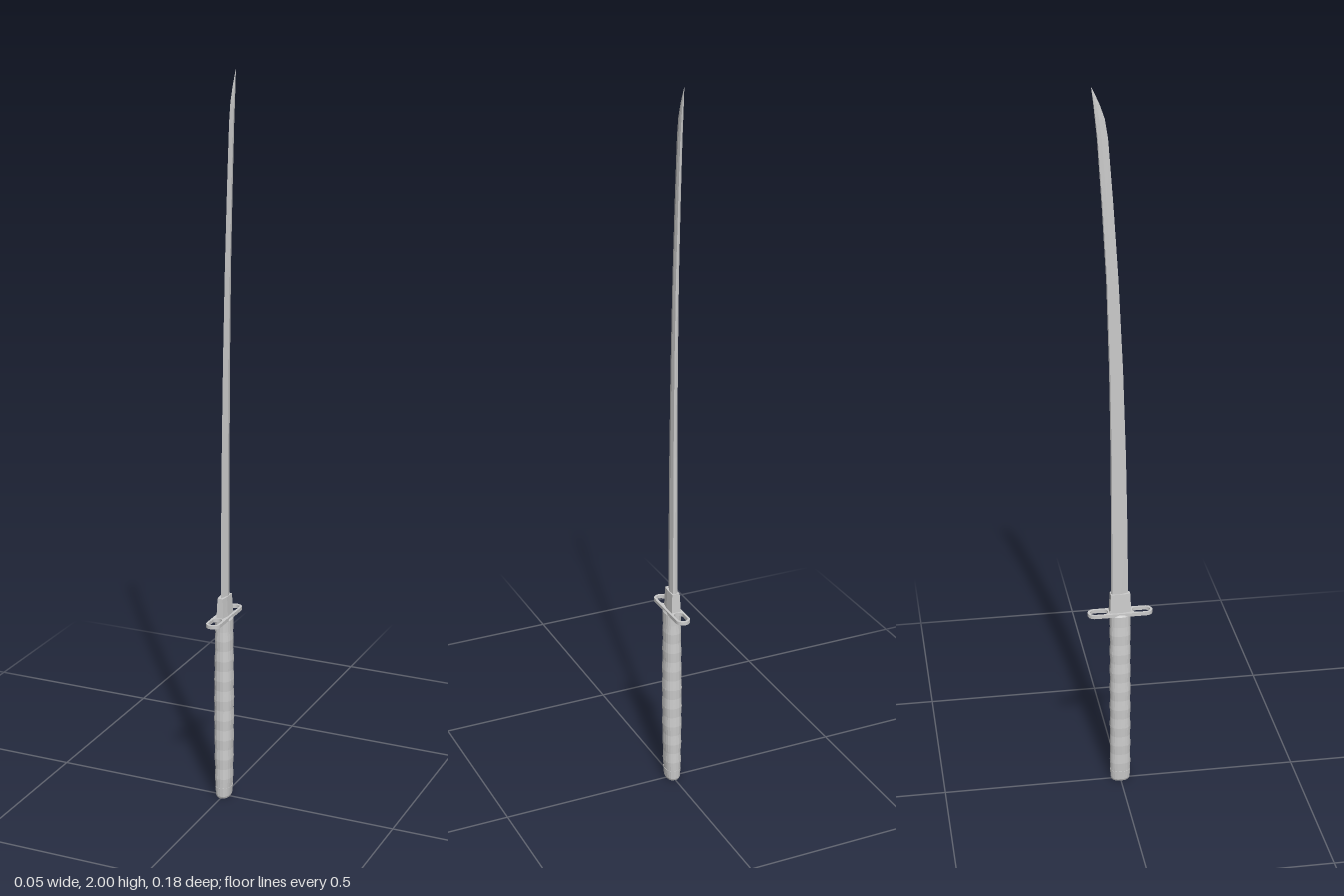
import * as THREE from 'three';

const material = new THREE.MeshStandardMaterial({ color: 0xcccccc, flatShading: true });

// Skins a stack of equal-length rings (ordered from +x towards +z) and caps both ends
function loft(name, rings, mat = material) {
  const n = rings[0].length;
  const positions = rings.flat(2);
  const index = [];
  for (let i = 0; i < rings.length - 1; i++) {
    for (let j = 0; j < n; j++) {
      const a = i * n + j, b = i * n + (j + 1) % n;
      index.push(a, a + n, b, b, a + n, b + n);
    }
  }
  [rings[0], rings[rings.length - 1]].forEach((ring, end) => {
    const centre = positions.length / 3;
    for (let k = 0; k < 3; k++) positions.push(ring.reduce((s, p) => s + p[k], 0) / n);
    const base = end ? (rings.length - 1) * n : 0;
    for (let j = 0; j < n; j++) {
      const a = base + j, b = base + (j + 1) % n;
      if (end) index.push(centre, b, a);
      else index.push(centre, a, b);
    }
  });
  const geometry = new THREE.BufferGeometry();
  geometry.setAttribute('position', new THREE.Float32BufferAttribute(positions, 3));
  geometry.setIndex(index);
  geometry.computeVertexNormals();
  const mesh = new THREE.Mesh(geometry, mat);
  mesh.name = name;
  return mesh;
}

// Rounded oval ring for the grip
function oval(y, rx, rz, sides = 20) {
  return Array.from({ length: sides }, (_, j) => {
    const a = (j / sides) * Math.PI * 2, c = Math.cos(a), s = Math.sin(a);
    return [Math.sign(c) * Math.abs(c) ** 0.85 * rx, y, Math.sign(s) * Math.abs(s) ** 0.85 * rz];
  });
}

// Stadium outline, long in y
function stadium(target, halfWidth, y0, y1) {
  target.absarc(0, y1 - halfWidth, halfWidth, 0, Math.PI, false);
  target.absarc(0, y0 + halfWidth, halfWidth, Math.PI, Math.PI * 2, false);
  target.closePath();
  return target;
}

export function createModel() {
  const model = new THREE.Group();
  model.name = 'sword';

  // Blade: sharp edge at +z, ridge on each side, roofed spine at -z
  const stations = [
    // y, edge z, spine z, half thickness
    [0.54, 0.023, -0.025, 0.0095],
    [0.8, 0.020, -0.025, 0.0085],
    [1.0, 0.016, -0.0255, 0.0078],
    [1.25, 0.008, -0.029, 0.007],
    [1.5, -0.004, -0.036, 0.006],
    [1.7, -0.017, -0.047, 0.005],
    [1.87, -0.03, -0.058, 0.0042],
    [1.92, -0.038, -0.063, 0.0036],
    [1.96, -0.052, -0.067, 0.0026],
    [2.0, -0.071, -0.072, 0.0004],
  ];
  const blade = stations.map(([y, edge, spine, t]) => {
    const ridge = spine + (edge - spine) * 0.42;
    const back = spine + (edge - spine) * 0.06;
    return [[t, y, ridge], [0, y, edge], [-t, y, ridge],
      [-t * 0.7, y, back], [0, y, spine], [t * 0.7, y, back]];
  });
  model.add(loft('blade', blade));

  // Tapered collar at the root of the blade
  const collar = [[0.535, 0.014, 0.03], [0.595, 0.011, 0.027]].map(([y, x, z]) =>
    [[x, y, z * 0.2], [x * 0.7, y, z], [-x * 0.7, y, z], [-x, y, z * 0.2], [-x, y, -z], [x, y, -z]]);
  model.add(loft('bladeCollar', collar));

  // Flat guard with a slot on each side of the blade
  const outline = stadium(new THREE.Shape(), 0.02, -0.09, 0.09);
  for (const s of [-1, 1]) {
    const [a, b] = [s * 0.033, s * 0.083].sort((p, q) => p - q);
    outline.holes.push(stadium(new THREE.Path(), 0.0135, a, b));
  }
  const guardGeometry = new THREE.ExtrudeGeometry(outline, { depth: 0.01, bevelEnabled: false, curveSegments: 10 });
  guardGeometry.rotateX(-Math.PI / 2).translate(0, 0.53, 0);
  const guard = new THREE.Mesh(guardGeometry, material);
  guard.name = 'guard';
  model.add(guard);

  // Grip: gently swelling oval with raised wrap bands
  const gripRings = [];
  const bands = 8, steps = 4, y0 = 0.03, y1 = 0.5;
  for (let i = 0; i <= bands * steps; i++) {
    const t = i / (bands * steps);
    const swell = Math.sin(t * Math.PI);
    const bump = 0.0016 * Math.sin((i / steps) * Math.PI) ** 2;
    gripRings.push(oval(y0 + (y1 - y0) * t, 0.0215 + 0.0035 * swell + bump, 0.028 + bump));
  }
  model.add(loft('grip', gripRings));

  // End cap and top ferrule
  model.add(loft('pommelCap', [oval(0, 0.018, 0.025), oval(0.006, 0.0205, 0.0275), oval(0.032, 0.0225, 0.029)]));
  model.add(loft('ferrule', [oval(0.498, 0.0235, 0.029), oval(0.53, 0.0235, 0.029), oval(0.538, 0.019, 0.026)]));

  return model;
}
